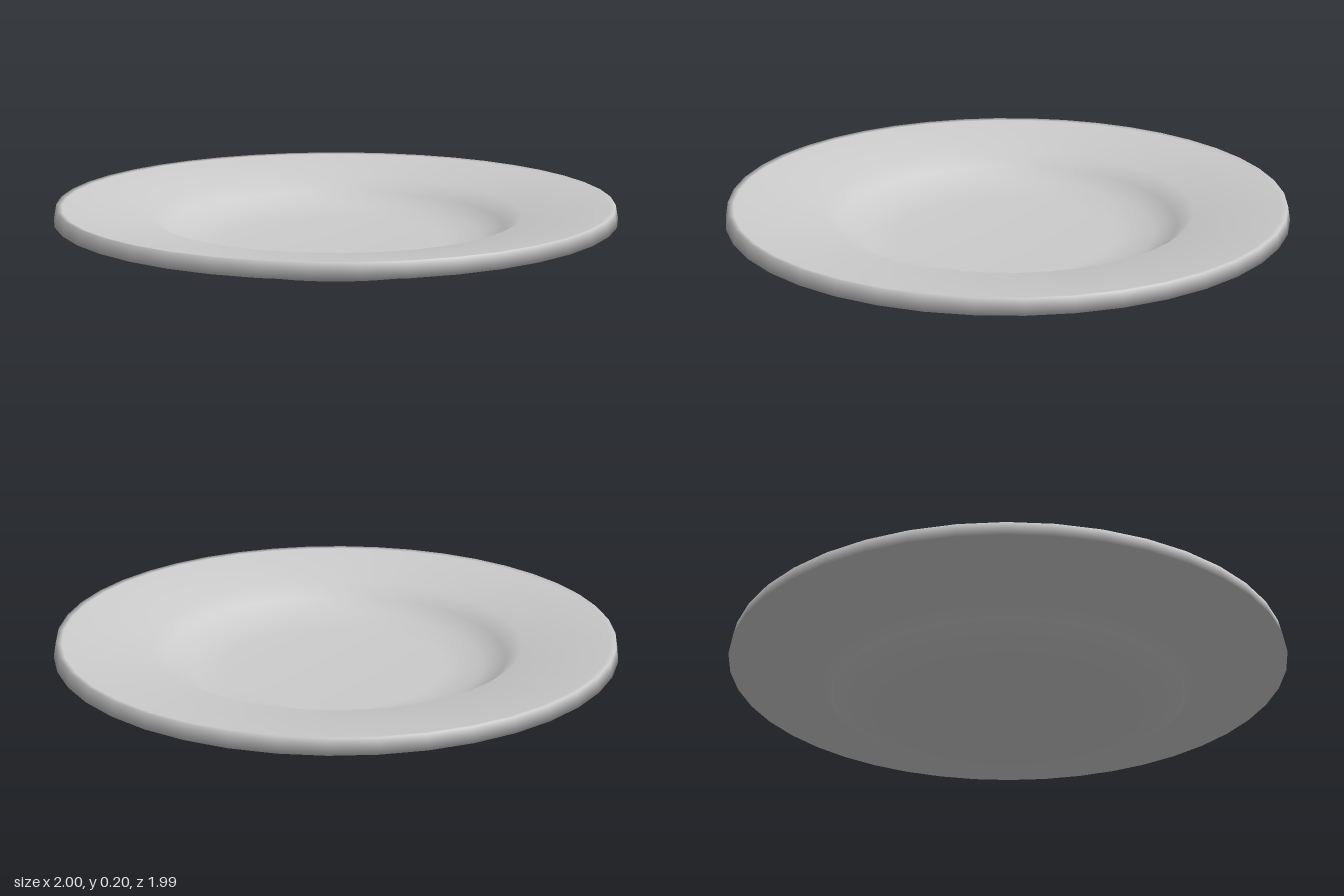
import * as THREE from 'three';

export function createModel() {
  const group = new THREE.Group();
  group.name = 'dinnerPlate';

  // Closed cross-section: underside centre, out to the rim, back to the upper centre
  const underside = [[0, 0], [0.39, 0], [0.54, 0.025], [0.635, 0.067], [0.69, 0.11], [1, 0.15]];
  const upperside = [[0.99, 0.2], [0.97, 0.196], [0.665, 0.15], [0.61, 0.1], [0.53, 0.062], [0.4, 0.04], [0, 0.04]];
  const profile = [...underside, ...upperside].map(([r, y]) => new THREE.Vector2(r, y));

  // Smooth 42-sided turn, with a corner on the x axis
  const plate = new THREE.Mesh(
    new THREE.LatheGeometry(profile, 42, Math.PI / 2),
    new THREE.MeshStandardMaterial({ color: 0xcccccc })
  );
  plate.name = 'plate';
  group.add(plate);
  return group;
}
